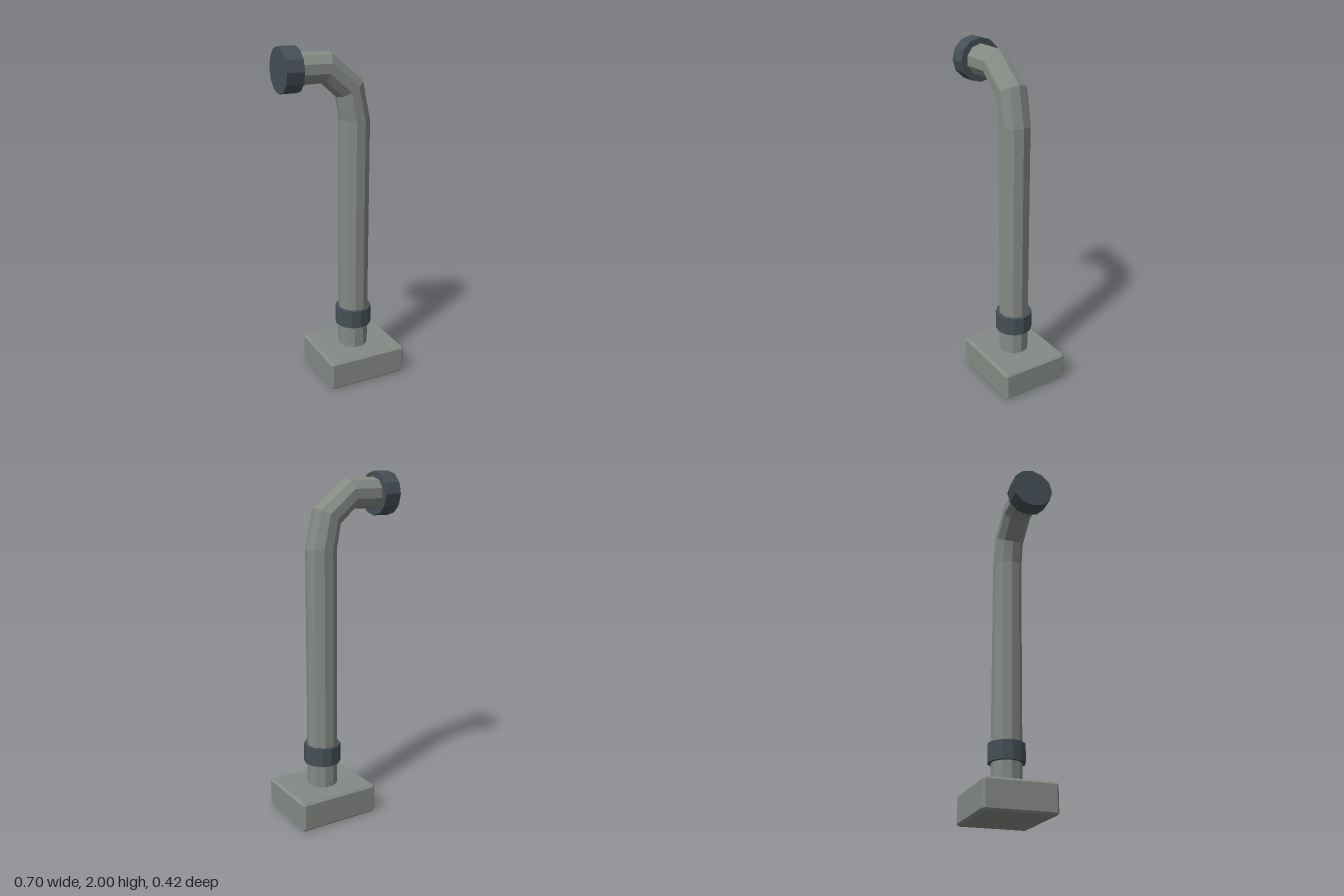
import * as THREE from 'three';
import { ConvexGeometry } from 'three/addons/geometries/ConvexGeometry.js';

const PIPE_X = 0.102;

// Box with a single flat chamfer along every edge
function chamferedBox(w, h, d, c) {
  const points = [];
  for (const x of [-1, 1]) for (const y of [-1, 1]) for (const z of [-1, 1]) {
    for (let axis = 0; axis < 3; axis++) {
      const half = [w / 2, h / 2, d / 2].map((v, i) => (i === axis ? v : v - c));
      points.push(new THREE.Vector3(x * half[0], y * half[1], z * half[2]));
    }
  }
  return new ConvexGeometry(points);
}

// Round tube through tilted rings; each ring is [x, y, outward angle in degrees]
function bentPipe(rings, radius, sides) {
  const positions = [];
  const index = [];
  for (const [x, y, tilt] of rings) {
    const t = THREE.MathUtils.degToRad(tilt);
    for (let j = 0; j < sides; j++) {
      const a = (j / sides) * Math.PI * 2;
      const out = radius * Math.cos(a);
      positions.push(x + out * Math.cos(t), y + out * Math.sin(t), radius * Math.sin(a));
    }
  }
  for (let i = 0; i < rings.length - 1; i++) {
    for (let j = 0; j < sides; j++) {
      const a = i * sides + j;
      const b = i * sides + ((j + 1) % sides);
      index.push(a, a + sides, b, b, a + sides, b + sides);
    }
  }
  const geometry = new THREE.BufferGeometry();
  geometry.setAttribute('position', new THREE.Float32BufferAttribute(positions, 3));
  geometry.setIndex(index);
  const flat = geometry.toNonIndexed();
  flat.computeVertexNormals();
  return flat;
}

export function createModel() {
  const group = new THREE.Group();
  const paleMetal = new THREE.MeshStandardMaterial({ name: 'pale metal', color: 0x858a85, flatShading: true });
  const darkMetal = new THREE.MeshStandardMaterial({ name: 'dark metal', color: 0x455056, flatShading: true });

  function add(name, geometry, material, x = 0, y = 0) {
    const mesh = new THREE.Mesh(geometry, material);
    mesh.name = name;
    mesh.position.set(x, y, 0);
    group.add(mesh);
    return mesh;
  }

  // Foot block
  add('base', chamferedBox(0.493, 0.175, 0.42, 0.013), paleMetal, 0.1035, 0.0875);

  // Upright pipe with its elbow and short horizontal run
  add('pipe', bentPipe([
    [PIPE_X, 0.16, 0],
    [PIPE_X, 1.58, 0],
    [0.066, 1.757, 32],
    [-0.079, 1.878, 74],
    [-0.27, 1.878, 90],
  ], 0.089, 10), paleMetal);

  // Ring around the lower pipe
  add('collar', new THREE.CylinderGeometry(0.109, 0.109, 0.11, 12), darkMetal, PIPE_X, 0.37);

  // Cap on the horizontal end
  const cap = add('endCap', new THREE.CylinderGeometry(0.125, 0.125, 0.1, 12), darkMetal, -0.3, 1.875);
  cap.rotation.z = Math.PI / 2;

  return group;
}
